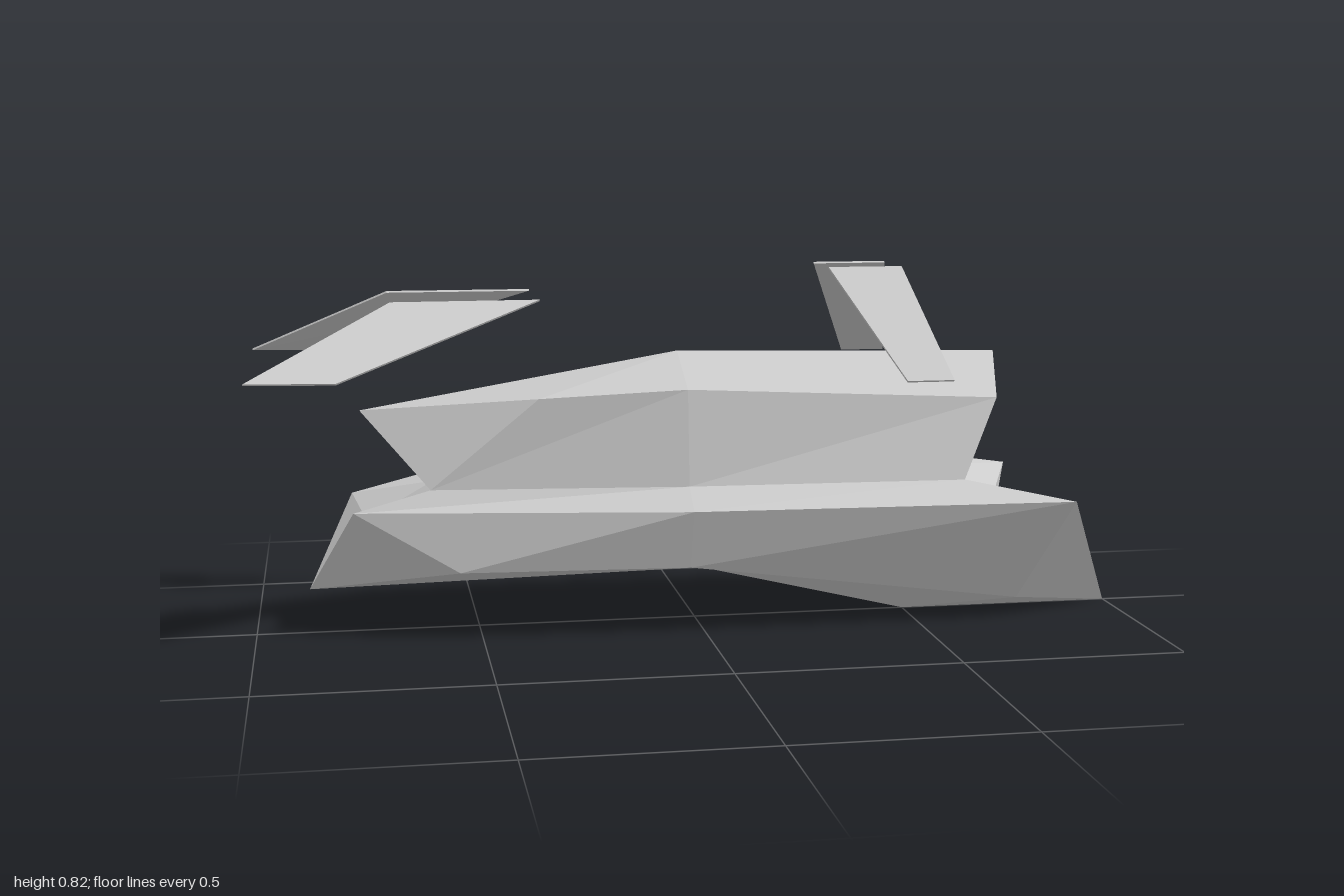
import * as THREE from 'three';

const material = new THREE.MeshStandardMaterial({ color: 0xcccccc, flatShading: true });

// Corner points of the +z half; every face is mirrored to the -z half.
const P = {
  // hull
  bow: [-0.88, 0.1, 0], bowRim: [-0.78, 0.295, 0.125], bowNotch: [-0.75, 0.255, 0],
  bowChine: [-0.55, 0.16, 0.16], midRim: [-0.04, 0.295, 0.235], midChine: [-0.04, 0.16, 0.19],
  midKeel: [-0.04, 0.13, 0], keel: [0.5, 0, 0], sternChine: [0.74, 0.045, 0.125],
  sternRim: [0.83, 0.295, 0.265], sternTip: [1, 0, 0], sternNotch: [0.7, 0.2, 0],
  // seam between hull and cabin
  deckBow: [-0.61, 0.34, 0.115], deckMid: [-0.04, 0.34, 0.17], deckStern: [0.59, 0.34, 0.19],
  deckBowCentre: [-0.6, 0.34, 0], deckSternCentre: [0.49, 0.34, 0],
  // cabin
  nose: [-0.76, 0.505, 0], bowShoulder: [-0.37, 0.54, 0.135], midShoulder: [-0.04, 0.555, 0.15],
  sternShoulder: [0.675, 0.52, 0.145], ridge: [-0.04, 0.625, 0], sternPeak: [0.71, 0.61, 0],
};

const hullFaces = [
  'bow bowChine bowRim', 'bowChine midChine midRim bowRim', 'midChine sternChine sternRim midRim', // sides
  'bow midKeel midChine bowChine', 'midKeel keel sternChine midChine', 'keel sternTip sternChine', // bottom
  'bowRim midRim deckMid deckBow', 'midRim sternRim deckStern deckMid', // deck
  'bow bowRim bowNotch', 'bowNotch bowRim deckBow deckBowCentre', // bow end
  'sternTip sternNotch sternRim sternChine', 'sternNotch deckSternCentre deckStern sternRim', // stern end
];

const cabinFaces = [
  'nose deckBow bowShoulder', 'deckBow deckMid midShoulder bowShoulder',
  'deckMid deckStern sternShoulder midShoulder', // sides
  'nose bowShoulder ridge', 'bowShoulder midShoulder ridge', 'midShoulder sternShoulder sternPeak ridge', // roof
  'deckBowCentre deckBow nose', 'deckSternCentre sternPeak sternShoulder deckStern', // ends
];

// Faceted mesh from polygons, each split into a fan of triangles.
function facetMesh(name, polygons) {
  const positions = [];
  for (const poly of polygons) {
    for (let i = 1; i < poly.length - 1; i++) positions.push(...poly[0], ...poly[i], ...poly[i + 1]);
  }
  const geometry = new THREE.BufferGeometry();
  geometry.setAttribute('position', new THREE.Float32BufferAttribute(positions, 3));
  geometry.computeVertexNormals();
  const mesh = new THREE.Mesh(geometry, material);
  mesh.name = name;
  return mesh;
}

const mirrored = (poly) => poly.map(([x, y, z]) => [x, y, -z]).reverse();

function symmetricShell(name, faces) {
  const half = faces.map((face) => face.split(' ').map((key) => P[key]));
  return facetMesh(name, [...half, ...half.map(mirrored)]);
}

// Thin plate around a four-cornered outline, counter-clockwise from outside.
function platePolygons(corners, thickness) {
  const v = corners.map((c) => new THREE.Vector3(...c));
  const normal = v[2].clone().sub(v[0]).cross(v[3].clone().sub(v[1])).normalize();
  const shift = (s) => v.map((c) => c.clone().addScaledVector(normal, s * thickness / 2).toArray());
  const outer = shift(1), inner = shift(-1);
  const edges = outer.map((c, i) => {
    const j = (i + 1) % outer.length;
    return [c, inner[i], inner[j], outer[j]];
  });
  return [outer, [...inner].reverse(), ...edges];
}

export function createModel() {
  const group = new THREE.Group();
  group.name = 'vessel';
  group.add(symmetricShell('hull', hullFaces), symmetricShell('cabin', cabinFaces));

  // Detached fins hovering on both sides of the cabin
  const fins = {
    bowFin: [[-1, 0.61, 0.315], [-0.81, 0.607, 0.317], [-0.365, 0.757, 0.128], [-0.69, 0.757, 0.133]],
    sternFin: [[0.42, 0.583, 0.305], [0.525, 0.583, 0.305], [0.465, 0.815, 0.075], [0.295, 0.815, 0.075]],
  };
  for (const [name, corners] of Object.entries(fins)) {
    const plate = platePolygons(corners, 0.005);
    group.add(facetMesh(name + 'Front', plate), facetMesh(name + 'Back', plate.map(mirrored)));
  }
  return group;
}
